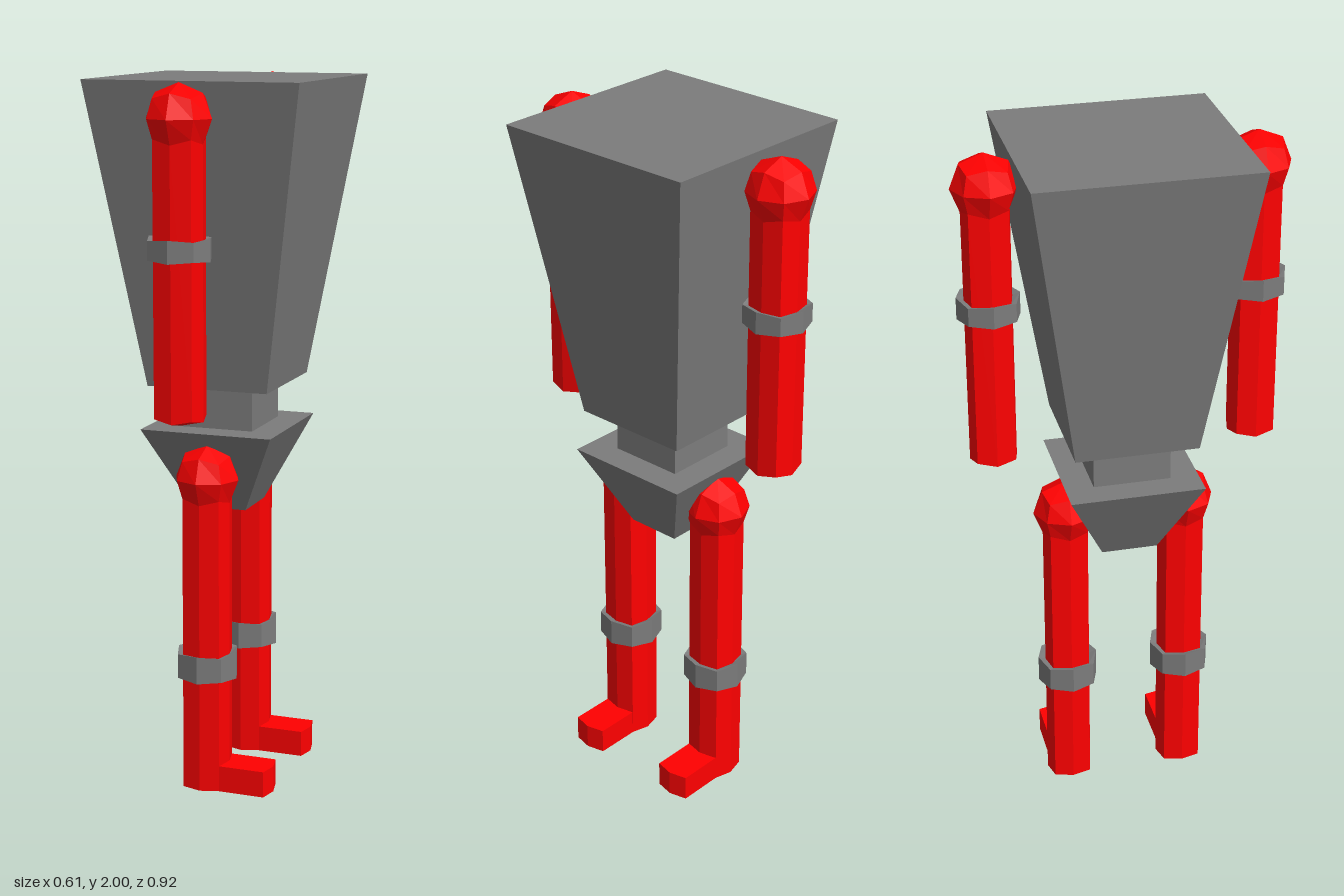
import * as THREE from 'three';

const grey = new THREE.MeshStandardMaterial({ color: 0x7c7c7c, flatShading: true });
const red = new THREE.MeshStandardMaterial({ color: 0xff0000, flatShading: true });

function add(parent, name, geometry, material) {
  const mesh = new THREE.Mesh(geometry, material);
  mesh.name = name;
  parent.add(mesh);
  return mesh;
}

// Square block, tapering from a half width at the bottom to one at the top
function taperedBlock(y0, half0, y1, half1) {
  const geo = new THREE.BoxGeometry(2, y1 - y0, 2);
  geo.translate(0, (y0 + y1) / 2, 0);
  const pos = geo.attributes.position;
  for (let i = 0; i < pos.count; i++) {
    const half = pos.getY(i) > (y0 + y1) / 2 ? half1 : half0;
    pos.setX(i, pos.getX(i) * half);
    pos.setZ(i, pos.getZ(i) * half);
  }
  geo.computeVertexNormals();
  return geo;
}

// Eight-sided loft from top to bottom; each ring is
// [radius on the axes, radius on the diagonals, height on the axes, height on the diagonals]
function octagonLoft(rings) {
  const points = [], index = [];
  rings.forEach(([rAxis, rDiag, yAxis, yDiag], j) => {
    for (let i = 0; i < 8; i++) {
      const a = i * Math.PI / 4, r = i % 2 ? rDiag : rAxis;
      points.push(Math.cos(a) * r, i % 2 ? yDiag : yAxis, Math.sin(a) * r);
      if (j === 0) continue;
      const a0 = (j - 1) * 8 + i, a1 = (j - 1) * 8 + (i + 1) % 8;
      const b0 = a0 + 8, b1 = a1 + 8;
      if (rings[j - 1][0] > 0) index.push(a0, a1, b0);
      if (rAxis > 0) index.push(a1, b1, b0);
    }
  });
  const geo = new THREE.BufferGeometry();
  geo.setAttribute('position', new THREE.Float32BufferAttribute(points, 3));
  geo.setIndex(index);
  geo.computeVertexNormals();
  return geo;
}

// Ball joint continuing into a straight shaft with a shallow pointed end
function limb(top, bottom, axisDrop, diagDrop) {
  const c = top - 0.092;
  return octagonLoft([
    [0, 0, top, top],
    [0.066, 0.076, c + 0.066, c + 0.052],
    [0.092, 0.092, c, c],
    [0.066, 0.076, c - 0.066, c - 0.052],
    [0.066, 0.076, bottom + axisDrop, bottom + diagDrop],
    [0, 0, bottom, bottom],
  ]);
}

// Band around the elbow or knee
function band(y0, y1) {
  return octagonLoft([
    [0, 0, y1 - 0.008, y1 - 0.008],
    [0.066, 0.076, y1 - 0.008, y1 - 0.008],
    [0.087, 0.092, y1, y1 - 0.005],
    [0.087, 0.092, y0, y0 + 0.005],
    [0.066, 0.076, y0 + 0.008, y0 + 0.008],
    [0, 0, y0 + 0.008, y0 + 0.008],
  ]);
}

// Flat foot pointing to +x with a blunt pointed toe
function foot() {
  const shape = new THREE.Shape([
    [0.03, -0.053], [0.186, -0.053], [0.198, 0], [0.186, 0.053], [0.03, 0.053],
  ].map(([x, y]) => new THREE.Vector2(x, y)));
  const geo = new THREE.ExtrudeGeometry(shape, { depth: 0.075, bevelEnabled: false });
  geo.rotateX(-Math.PI / 2);
  geo.translate(0, 0.01, 0);
  return geo;
}

export function createModel() {
  const model = new THREE.Group();
  model.name = 'blockFigure';

  // Body blocks
  add(model, 'torso', taperedBlock(1.157, 0.175, 2, 0.306), grey);
  add(model, 'waist', taperedBlock(1.03, 0.11, 1.165, 0.11), grey);
  add(model, 'pelvis', taperedBlock(0.8, 0.08, 1.035, 0.191), grey);

  // Arms and legs on both sides
  for (const side of [-1, 1]) {
    const arm = new THREE.Group();
    arm.name = side < 0 ? 'armBack' : 'armFront';
    arm.position.z = side * 0.37;
    add(arm, 'armShaft', limb(2, 1.096, 0.014, 0.024), red);
    add(arm, 'elbowBand', band(1.538, 1.6), grey);

    const leg = new THREE.Group();
    leg.name = side < 0 ? 'legBack' : 'legFront';
    leg.position.z = side * 0.17;
    add(leg, 'legShaft', limb(1, 0.005, 0.004, 0.006), red);
    add(leg, 'kneeBand', band(0.333, 0.412), grey);
    add(leg, 'foot', foot(), red);
    model.add(arm, leg);
  }
  return model;
}
